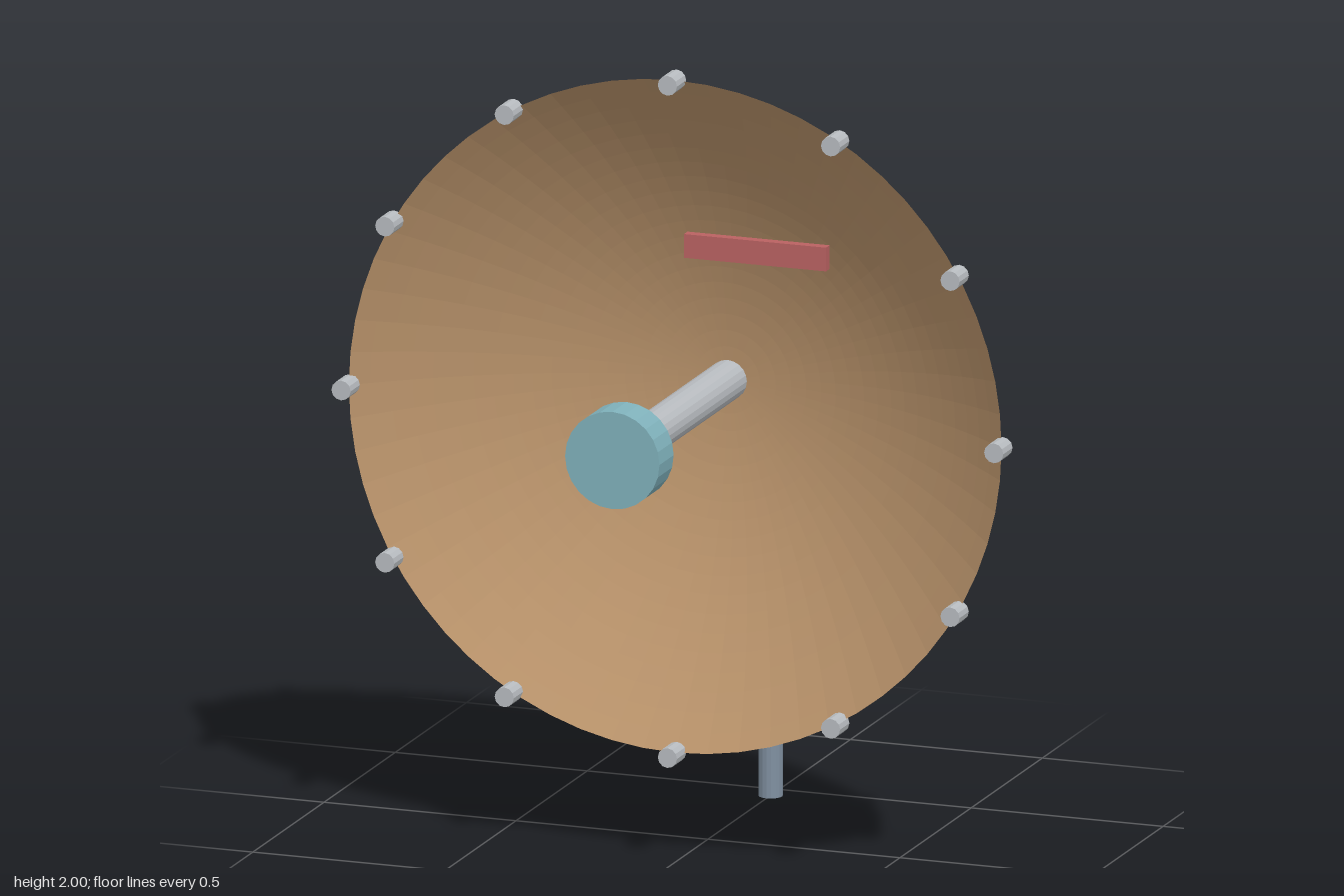
import * as THREE from 'three';

const AXIS_Y = 1.127; // height of the dish axis
const RIM_R = 0.85, APEX_Z = -0.14, RIM_Z = 0.23;

function material(name, color, extra = {}) {
  const m = new THREE.MeshStandardMaterial({ color, flatShading: true, ...extra });
  m.name = name;
  return m;
}

export function createModel() {
  const model = new THREE.Group();
  model.name = 'dishAntenna';

  const bronze = material('bronze', 0xb8926a, { side: THREE.DoubleSide });
  const silver = material('silver', 0xb8bcc0);
  const steel = material('steel', 0x8090a0);
  const teal = material('teal', 0x80b2bc);
  const red = material('red', 0xba6262);

  function add(name, geometry, mat, parent = model) {
    const mesh = new THREE.Mesh(geometry, mat);
    mesh.name = name;
    parent.add(mesh);
    return mesh;
  }

  // Cylinder lying along z between two depths
  function axial(name, r, z0, z1, sides, mat, x = 0, y = AXIS_Y, parent = model) {
    const g = new THREE.CylinderGeometry(r, r, z1 - z0, sides).rotateX(Math.PI / 2);
    add(name, g, mat, parent).position.set(x, y, (z0 + z1) / 2);
  }

  // Parabolic reflector: thin open shell facing +z
  const profile = [];
  const rings = 20;
  for (let i = 0; i <= rings; i++) {
    const t = i / rings;
    profile.push(new THREE.Vector2(RIM_R * t, APEX_Z + (RIM_Z - APEX_Z) * t * t));
  }
  const dish = new THREE.LatheGeometry(profile, 64).rotateX(Math.PI / 2);
  add('reflectorDish', dish, bronze).position.y = AXIS_Y;

  // Studs around the rim
  const studs = new THREE.Group();
  studs.name = 'rimStuds';
  model.add(studs);
  for (let i = 0; i < 12; i++) {
    const a = (i / 12) * Math.PI * 2;
    axial('rimStud', 0.025, 0.22, 0.285, 12, silver,
      RIM_R * Math.cos(a), AXIS_Y + RIM_R * Math.sin(a), studs);
  }

  // Central rod with the feed on its front end
  axial('feedRod', 0.05, -0.215, 0.575, 20, silver);
  axial('feedHead', 0.123, 0.572, 0.672, 24, teal);

  // Rear housing and support post
  axial('rearHousing', 0.073, -0.672, -0.26, 20, steel);
  add('supportPost', new THREE.CylinderGeometry(0.03, 0.03, 0.985, 16), steel)
    .position.set(0, 0.4925, -0.44);

  // Marker bar in front of the dish
  add('markerBar', new THREE.BoxGeometry(0.37, 0.06, 0.025), red)
    .position.set(0.215, 1.566, 0.237);

  return model;
}
